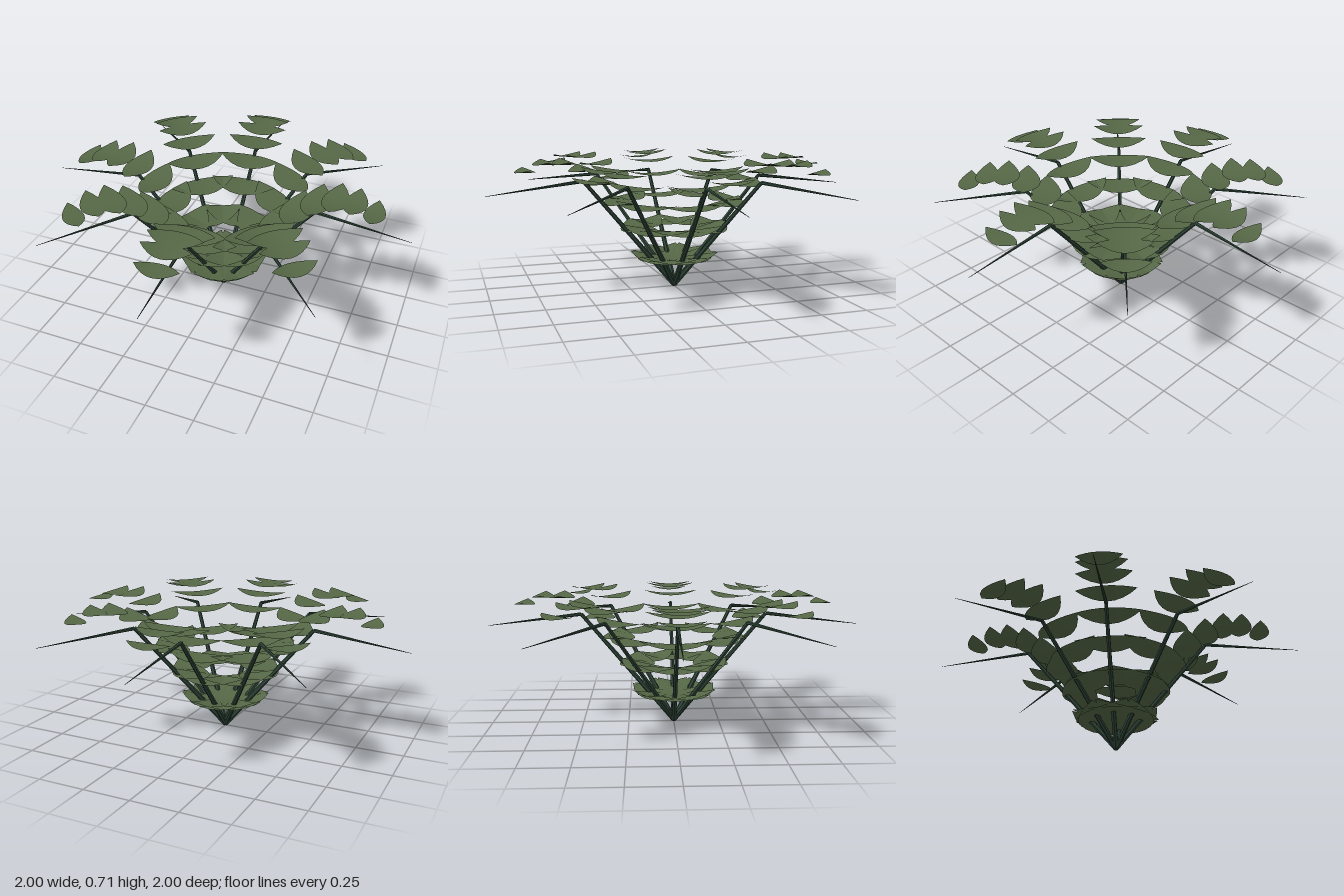
import * as THREE from 'three';

const FRONDS = 8;
// height of the leaf pairs at radius 0.1, 0.2 ... 0.8
const LEAF_Y = [0.16, 0.325, 0.47, 0.58, 0.652, 0.69, 0.692, 0.655];

// Pointed leaf lying across the stem, its tips curving upward
function leafGeometry(halfWidth, halfDepth, rise) {
  const geo = new THREE.PlaneGeometry(2, 2, 8, 2);
  geo.rotateX(-Math.PI / 2);
  const p = geo.attributes.position;
  for (let i = 0; i < p.count; i++) {
    const u = p.getX(i), v = p.getZ(i);
    p.setXYZ(i, u * halfWidth, rise * u * u, v * halfDepth * (1 - u * u));
  }
  geo.computeVertexNormals();
  return geo;
}

// Tapered rod between two points
function rod(a, b, ra, rb, material, name) {
  const dir = b.clone().sub(a);
  const geo = new THREE.CylinderGeometry(rb, ra, dir.length(), 6);
  const mesh = new THREE.Mesh(geo, material);
  mesh.position.copy(a).add(b).multiplyScalar(0.5);
  mesh.quaternion.setFromUnitVectors(new THREE.Vector3(0, 1, 0), dir.normalize());
  mesh.name = name;
  return mesh;
}

export function createModel() {
  const leafGreen = new THREE.MeshStandardMaterial({ color: 0x556846, side: THREE.DoubleSide });
  leafGreen.name = 'leafGreen';
  const stemGreen = new THREE.MeshStandardMaterial({ color: 0x2f4538, flatShading: true });
  stemGreen.name = 'stemGreen';

  const model = new THREE.Group();
  model.name = 'fern';

  const leaves = LEAF_Y.map((y, i) => {
    const w = 0.235 - 0.015 * (i + 1);
    return leafGeometry(w, w * 0.47, w * 0.16);
  });
  const base = new THREE.Vector3(0, 0.008, 0);
  const knee = new THREE.Vector3(0, 0.6, 0.5);
  const tip = new THREE.Vector3(0, 0.54, 1);

  for (let f = 0; f < FRONDS; f++) {
    const frond = new THREE.Group();
    frond.name = 'frond';
    frond.rotation.y = (f * Math.PI * 2) / FRONDS;

    // Bent stem: thick rising part, then a fine outer point
    frond.add(rod(base, knee, 0.015, 0.01, stemGreen, 'lowerStem'));
    frond.add(rod(knee, tip, 0.01, 0.001, stemGreen, 'stemTip'));

    // Leaves arching over the stem
    LEAF_Y.forEach((y, i) => {
      const leaf = new THREE.Mesh(leaves[i], leafGreen);
      leaf.name = 'leaf';
      leaf.position.set(0, y, 0.1 * (i + 1));
      frond.add(leaf);
    });
    model.add(frond);
  }
  return model;
}
